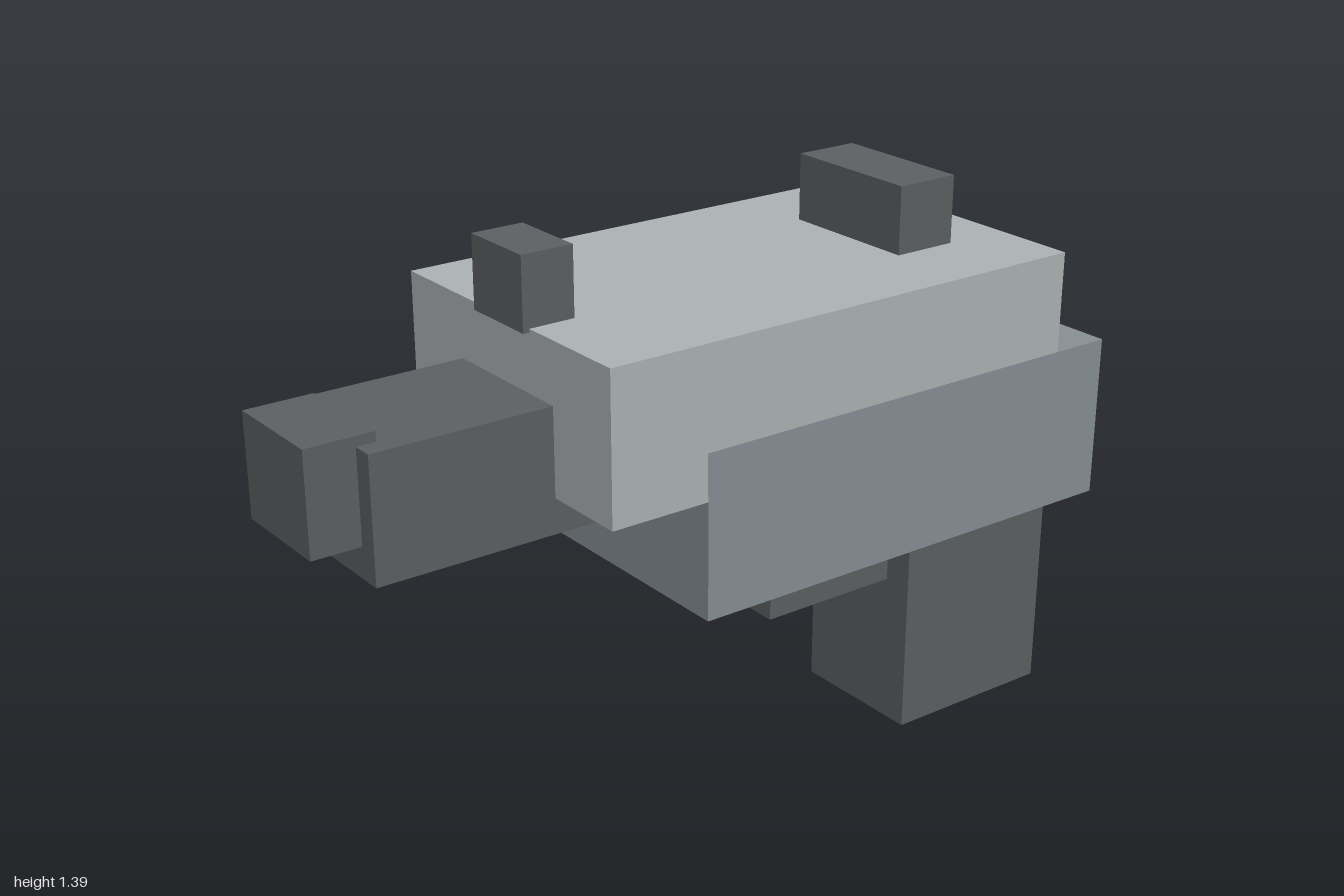
import * as THREE from 'three';

const paint = (name, color) => {
  const m = new THREE.MeshStandardMaterial({ color });
  m.name = name;
  return m;
};

export function createModel() {
  const lightGrey = paint('lightGrey', 0xabb1b2);
  const blueGrey = paint('blueGrey', 0x868e94);
  const charcoal = paint('charcoal', 0x5b5f61);
  const brass = paint('brass', 0xc3ae7c);

  const model = new THREE.Group();
  model.name = 'blockyPistol';

  // Box centred on x = 0, given by half width and its y and z ranges
  const block = (name, material, halfWidth, [y0, y1], [z0, z1]) => {
    const geometry = new THREE.BoxGeometry(halfWidth * 2, y1 - y0, z1 - z0);
    const mesh = new THREE.Mesh(geometry, material);
    mesh.name = name;
    mesh.position.set(0, (y0 + y1) / 2, (z0 + z1) / 2);
    model.add(mesh);
  };

  // Body: the frame is a hair wider than the slide it overlaps
  block('slide', lightGrey, 0.381, [0.885, 1.233], [-0.79, 0.458]);
  block('frame', blueGrey, 0.3825, [0.61, 0.995], [-0.935, 0.217]);

  // Barrel
  block('barrel', charcoal, 0.175, [0.803, 1.09], [0.1, 0.885]);
  block('muzzle', charcoal, 0.127, [0.876, 1.113], [0.84, 1]);

  // Grip and trigger
  block('grip', charcoal, 0.175, [0, 0.768], [-1, -0.55]);
  block('triggerGuard', charcoal, 0.238, [0.467, 0.7], [-0.422, -0.07]);
  block('trigger', brass, 0.046, [0.418, 0.5], [-0.295, -0.23]);

  // Sights
  block('frontSight', charcoal, 0.094, [1.225, 1.392], [0.347, 0.473]);
  block('rearSight', charcoal, 0.175, [1.225, 1.392], [-0.632, -0.474]);

  return model;
}
